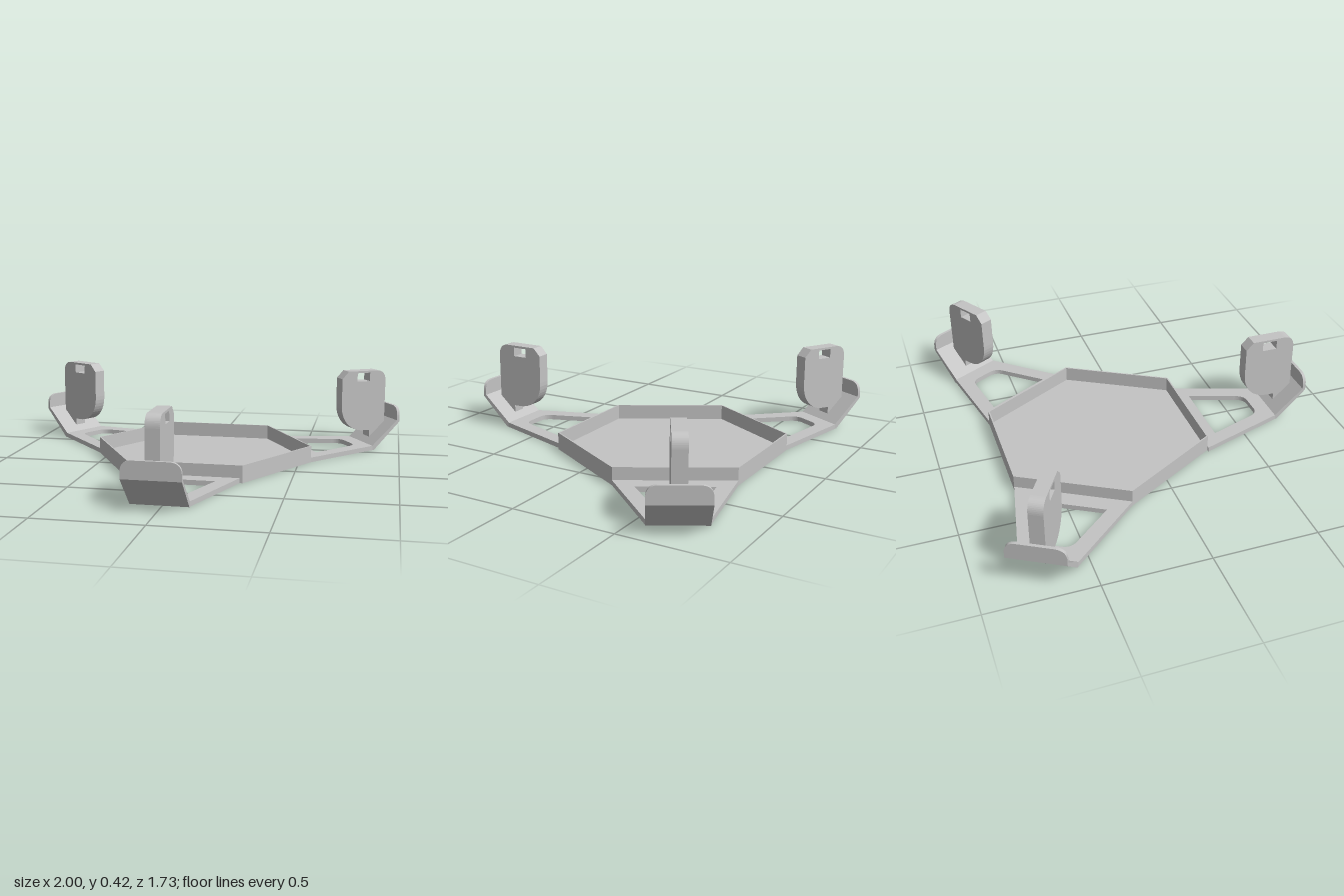
import * as THREE from 'three';

const grey = new THREE.MeshStandardMaterial({ color: 0xc4c4c4 });
grey.name = 'light grey';

const CENTRE_Z = -0.213;
const HEX_R = 0.56;
const APOTHEM = HEX_R * Math.cos(Math.PI / 6);
const SHEET = 0.024;
const TIP_HALF = 0.1325;

const points = (list) => list.map(([x, y]) => new THREE.Vector2(x, y));

const hexagon = (r) => points(Array.from({ length: 6 }, (_, i) =>
  [r * Math.cos(i * Math.PI / 3), r * Math.sin(i * Math.PI / 3)]));

function extrude(shape, depth) {
  return new THREE.ExtrudeGeometry(shape, { depth, bevelEnabled: false, curveSegments: 12 });
}

// Plan outline (x, z) raised from y0 by a height
function flat(shape, y0, height) {
  return extrude(shape, height).rotateX(Math.PI / 2).translate(0, y0 + height, 0);
}

// Side outline (z, y) given a width across x
function upright(shape, width) {
  return extrude(shape, width).translate(0, 0, -width / 2).rotateY(-Math.PI / 2);
}

function add(parent, name, geometry) {
  const mesh = new THREE.Mesh(geometry, grey);
  mesh.name = name;
  parent.add(mesh);
}

// Tapered plate with a rounded trapezoid opening
function armPlate() {
  const s = new THREE.Shape(points([
    [-0.28, APOTHEM], [0.28, APOTHEM], [TIP_HALF, 0.918], [-TIP_HALF, 0.918]]));
  const h = new THREE.Path();
  h.moveTo(-0.178, 0.563);
  h.lineTo(-0.1, 0.785);
  h.quadraticCurveTo(-0.085, 0.838, -0.04, 0.838);
  h.lineTo(0.04, 0.838);
  h.quadraticCurveTo(0.085, 0.838, 0.1, 0.785);
  h.lineTo(0.178, 0.563);
  h.closePath();
  s.holes.push(h);
  return flat(s, 0, SHEET);
}

// Upright end lip with rounded top corners
function lip() {
  const w = TIP_HALF, top = 0.23, r = 0.055;
  const s = new THREE.Shape();
  s.moveTo(-w, 0.148);
  s.lineTo(w, 0.148);
  s.lineTo(w, top - r);
  s.quadraticCurveTo(w, top, w - r, top);
  s.lineTo(-w + r, top);
  s.quadraticCurveTo(-w, top, -w, top - r);
  s.closePath();
  return extrude(s, 0.015).translate(0, 0, 1.061);
}

// Gripping fin with a slot near the top and a foot on the ramp
function fin() {
  const s = new THREE.Shape();
  s.moveTo(0.948, 0.035);
  s.lineTo(1.038, 0.122);
  s.lineTo(1.038, 0.36);
  s.quadraticCurveTo(1.036, 0.415, 0.985, 0.417);
  s.lineTo(0.815, 0.417);
  s.lineTo(0.778, 0.378);
  s.lineTo(0.778, 0.235);
  s.bezierCurveTo(0.778, 0.15, 0.83, 0.09, 0.915, 0.09);
  s.lineTo(0.948, 0.09);
  s.closePath();
  s.holes.push(new THREE.Path(points([
    [0.868, 0.36], [0.943, 0.36], [0.943, 0.406], [0.868, 0.406]])));
  return upright(s, 0.066);
}

function makeArm(name) {
  const arm = new THREE.Group();
  arm.name = name;
  add(arm, 'armPlate', armPlate());
  add(arm, 'ramp', upright(new THREE.Shape(points([
    [0.916, 0], [0.926, 0], [1.076, 0.148], [1.061, 0.155], [0.916, SHEET]])), TIP_HALF * 2));
  add(arm, 'endLip', lip());
  add(arm, 'gripFin', fin());
  return arm;
}

export function createModel() {
  const model = new THREE.Group();
  model.name = 'triangularHolder';

  const body = new THREE.Group();
  body.name = 'body';
  body.position.z = CENTRE_Z;
  model.add(body);

  // Shallow hexagonal tray
  add(body, 'trayFloor', flat(new THREE.Shape(hexagon(HEX_R - 0.004)), 0, 0.01));
  const rim = new THREE.Shape(hexagon(HEX_R));
  rim.holes.push(new THREE.Path(hexagon(HEX_R - 0.008)));
  add(body, 'trayWall', flat(rim, 0, 0.085));

  // Three arms around the tray
  ['frontArm', 'leftArm', 'rightArm'].forEach((name, i) => {
    const arm = makeArm(name);
    arm.rotation.y = i * Math.PI * 2 / 3;
    if (i === 0) arm.position.x = -0.013;
    body.add(arm);
  });
  return model;
}
